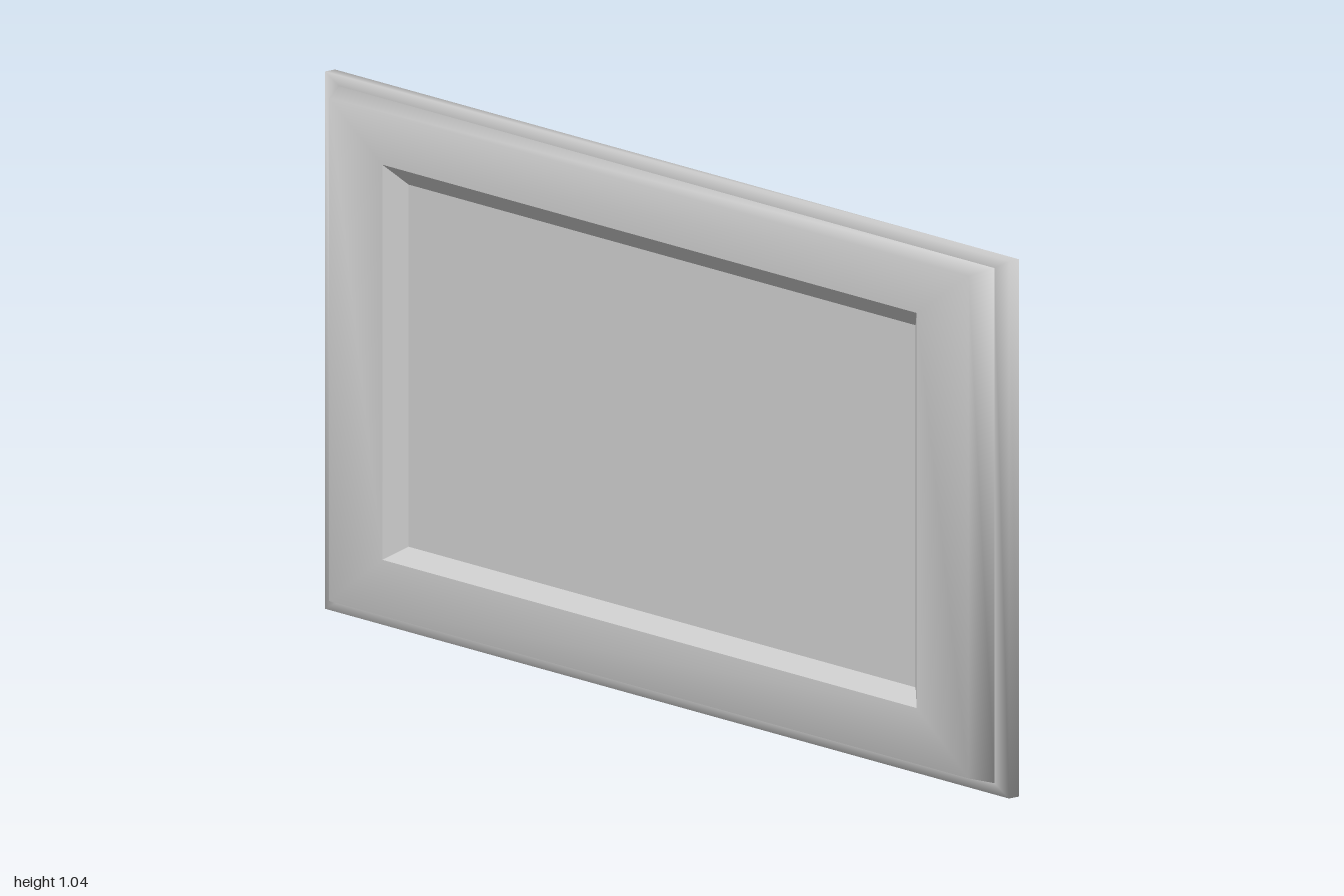
import * as THREE from 'three';

const material = new THREE.MeshStandardMaterial({ color: 0xcccccc, side: THREE.DoubleSide });

// Rectangular rings [halfWidth, bottom, top, z], listed from the outside inwards
const backEdge = [1, 0, 1.043, -0.035];
const frontEdge = [1, 0, 1.043, -0.01];
const wallFoot = [0.957, 0.022, 1.022, -0.01];
const ridge = [0.935, 0.034, 1.01, 0.035];
const lipOuter = [0.781, 0.142, 0.909, 0.033];
const lipInner = [0.741, 0.17, 0.873, 0.002];

// Joins successive rectangles into one smooth-shaded shell
function ringShell(name, rings) {
  const positions = [];
  const index = [];
  for (const [w, y0, y1, z] of rings) {
    positions.push(-w, y0, z, w, y0, z, w, y1, z, -w, y1, z);
  }
  for (let r = 0; r < rings.length - 1; r++) {
    for (let i = 0; i < 4; i++) {
      const a = r * 4 + i;
      const b = r * 4 + ((i + 1) % 4);
      index.push(a, b, b + 4, a, b + 4, a + 4);
    }
  }
  const geometry = new THREE.BufferGeometry();
  geometry.setAttribute('position', new THREE.Float32BufferAttribute(positions, 3));
  geometry.setIndex(index);
  geometry.computeVertexNormals();
  const mesh = new THREE.Mesh(geometry, material);
  mesh.name = name;
  return mesh;
}

export function createModel() {
  const model = new THREE.Group();
  model.name = 'framedPanel';

  // Open-backed frame: thin outer flange, raised moulding, inward sloping lip
  model.add(
    ringShell('outerFlange', [backEdge, frontEdge, wallFoot]),
    ringShell('raisedMoulding', [wallFoot, ridge, lipOuter]),
  );
  const lip = ringShell('innerLip', [lipOuter, lipInner]);
  lip.geometry = lip.geometry.toNonIndexed();
  lip.geometry.computeVertexNormals();
  model.add(lip);

  // Flat panel, reaching a little behind the lip
  const panel = new THREE.Mesh(new THREE.PlaneGeometry(1.542, 0.741), material);
  panel.name = 'panel';
  panel.position.set(0, 0.522, 0);
  model.add(panel);

  return model;
}
